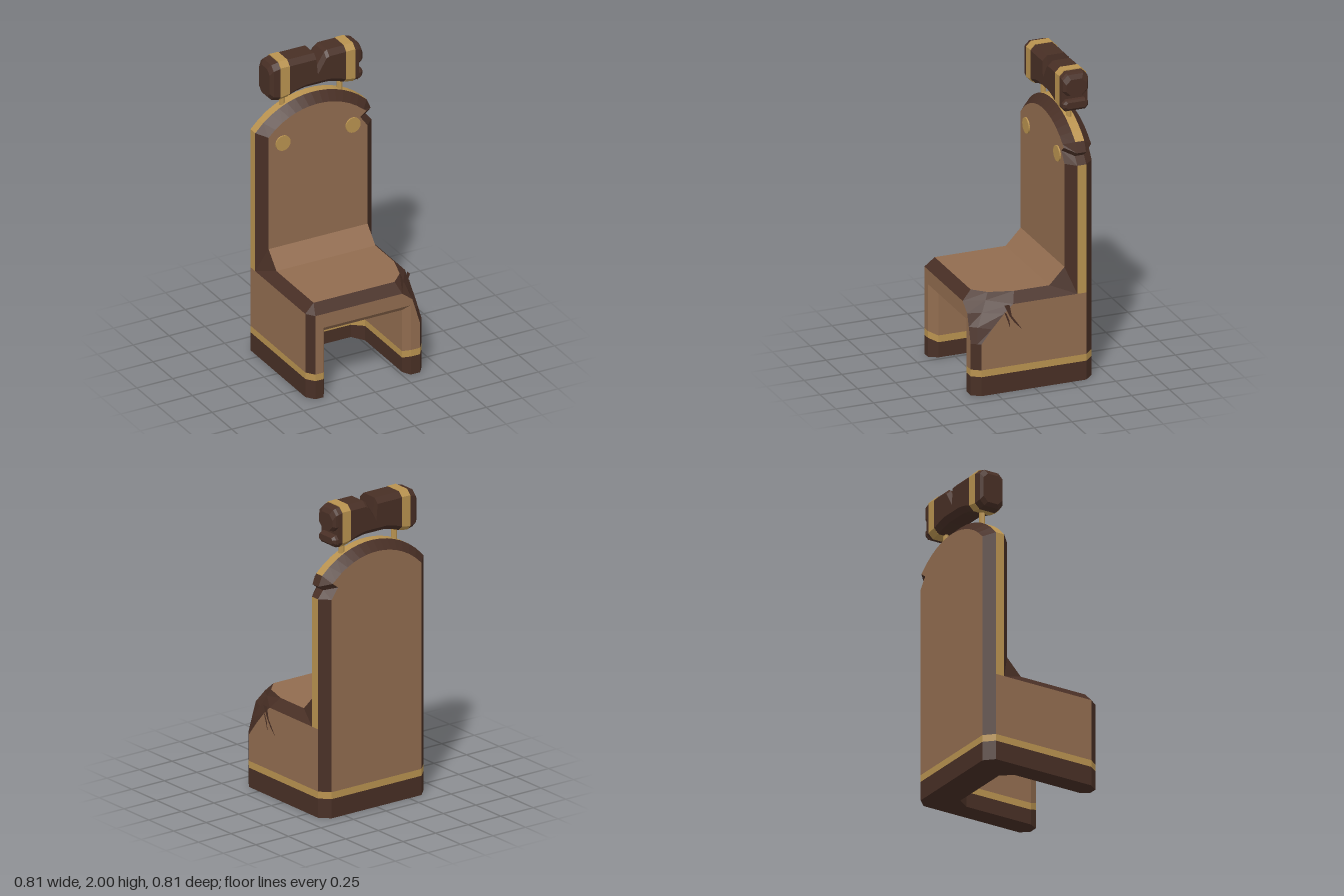
import * as THREE from 'three';

const mat = (name, color) => {
  const m = new THREE.MeshStandardMaterial({ color, flatShading: true, side: THREE.DoubleSide });
  m.name = name;
  return m;
};

export function createModel() {
  const group = new THREE.Group();
  const panel = mat('brown panel', 0x916c4f);
  const trim = mat('dark trim', 0x482f25);
  const gold = mat('dull gold', 0xb8924f);

  const add = (name, geometry, material) => {
    const m = new THREE.Mesh(geometry, material);
    m.name = name;
    group.add(m);
    return m;
  };
  // list of triangles, each three [x, y, z] corners
  const facets = (name, material, tris) => {
    const g = new THREE.BufferGeometry();
    g.setAttribute('position', new THREE.Float32BufferAttribute(tris.flat(2), 3));
    g.computeVertexNormals();
    return add(name, g, material);
  };
  // band of quads between two rows of points
  const band = (a, b) => a.slice(1).flatMap((p, i) => [[a[i], p, b[i + 1]], [a[i], b[i + 1], b[i]]]);
  // flat polygon of [u, v] points placed in space by map(u, v)
  const flat = (pts, map, flip = false) => {
    const v = pts.map(p => new THREE.Vector2(...p));
    if (THREE.ShapeUtils.isClockWise(v)) v.reverse();
    return THREE.ShapeUtils.triangulateShape(v, []).map(t => {
      const c = t.map(i => map(v[i].x, v[i].y));
      return flip ? c.reverse() : c;
    });
  };

  // U-shaped footprint: [x, z, drop of the band inside the opening]
  const outer = [[-0.31, 0.405, 0], [-0.365, 0.405, 0], [-0.405, 0.35, 0], [-0.405, -0.345, 0],
    [-0.345, -0.405, 0], [0.345, -0.405, 0], [0.405, -0.345, 0], [0.405, 0.35, 0],
    [0.365, 0.405, 0], [0.3, 0.405, 0]];
  const inner = [[0.3, 0.405, 0], [0.27, 0.35, 0.025], [0.27, -0.12, 0.025], [0.215, -0.2, 0.04],
    [-0.22, -0.2, 0.04], [-0.275, -0.12, 0.025], [-0.275, 0.35, 0.025], [-0.31, 0.405, 0]];
  const foot = [...outer, ...inner.slice(1)];
  const level = (list, y) => list.map(([x, z, d]) => [x, y ? y - d : 0, z]);
  facets('base', trim, [...band(level(foot, 0.125), level(foot, 0)),
    ...flat(foot.slice(0, -1), (x, z) => [x, 0, z])]);
  facets('baseBand', gold, band(level(foot, 0.17), level(foot, 0.125)));

  // opening below the seat
  const openingTop = inner.map(([x, z]) => [x, z > 0.4 ? 0.48 : 0.43, z]);
  facets('openingWalls', panel, band(openingTop, level(inner, 0.17)));
  facets('openingCeiling', panel, [
    ...flat(inner.slice(1, -1), (x, z) => [x, 0.43, z]),
    ...band([[-0.31, 0.48, 0.405], [0.3, 0.48, 0.405]], [[-0.275, 0.43, 0.35], [0.27, 0.43, 0.35]])]);

  // broken front corner: edge on the front, crest, edge on the side
  const chipFront = [[0.365, 0.34, 0.405], [0.335, 0.44, 0.405], [0.31, 0.52, 0.405],
    [0.24, 0.575, 0.405], [0.22, 0.635, 0.345]];
  const chipCrest = [[0.39, 0.34, 0.372], [0.37, 0.44, 0.36], [0.34, 0.52, 0.32],
    [0.315, 0.59, 0.285], [0.3, 0.635, 0.265]];
  const chipSide = [[0.405, 0.34, 0.35], [0.405, 0.43, 0.28], [0.405, 0.52, 0.2],
    [0.405, 0.575, 0.14], [0.345, 0.635, 0.11]];
  facets('brokenCorner', trim, [...band(chipFront, chipCrest), ...band(chipCrest, chipSide)]);

  // seat faces
  facets('seatFront', panel, flat([[-0.365, 0.17], [-0.31, 0.17], [-0.31, 0.48], [0.3, 0.48],
    [0.3, 0.17], [0.365, 0.17], ...chipFront.slice(0, 4).map(p => [p[0], p[1]]),
    [-0.365, 0.575]], (x, y) => [x, y, 0.405]));
  facets('seatTop', panel, flat([[-0.345, -0.125], [-0.345, 0.345], [0.22, 0.345],
    [0.3, 0.265], [0.345, 0.11], [0.345, -0.125]], (x, z) => [x, 0.635, z], true));
  facets('seatLeftSide', panel, flat([[-0.345, 0.17], [0.35, 0.17],
    ...chipSide.slice(0, 4).map(p => [p[2], p[1]]), [-0.345, 0.575]], (z, y) => [0.405, y, z], true));
  facets('seatRightSide', panel, flat([[-0.345, 0.17], [0.35, 0.17], [0.35, 0.575],
    [-0.345, 0.575]], (z, y) => [-0.405, y, z]));
  facets('seatBackSlope', panel, band([[-0.345, 0.74, -0.225], [0.345, 0.74, -0.225]],
    [[-0.345, 0.635, -0.125], [0.345, 0.635, -0.125]]));

  // bevelled seat edges
  const seatTrim = [
    ...band([[-0.345, 0.635, 0.345], [0.22, 0.635, 0.345]], [[-0.365, 0.575, 0.405], [0.24, 0.575, 0.405]]),
    [[-0.345, 0.635, 0.345], [-0.405, 0.575, 0.35], [-0.365, 0.575, 0.405]],
    ...band([[-0.405, 0.575, 0.35], [-0.365, 0.575, 0.405]], [[-0.405, 0.17, 0.35], [-0.365, 0.17, 0.405]]),
    ...band([[0.365, 0.34, 0.405], [0.39, 0.34, 0.372], [0.405, 0.34, 0.35]],
      [[0.365, 0.17, 0.405], [0.39, 0.17, 0.372], [0.405, 0.17, 0.35]]),
  ];
  for (const [s, z] of [[-1, 0.345], [1, 0.11]]) {
    const row = [[s * 0.345, 0.635, z], [s * 0.345, 0.635, -0.125]];
    const low = [[s * 0.405, 0.575, s < 0 ? 0.35 : 0.14], [s * 0.405, 0.575, -0.285]];
    seatTrim.push(...(s > 0 ? band(row, low) : band(low, row)));
    const corner = [[s * 0.345, 0.635, -0.125], [s * 0.405, 0.575, -0.285], [s * 0.345, 0.74, -0.225]];
    seatTrim.push(s > 0 ? corner : corner.reverse());
  }
  facets('seatTrim', trim, seatTrim);

  // backrest outline with a chip near one shoulder: [outer x, outer y, inner x, inner y]
  const outline = [[0.405, 1.42, 0.345, 1.42], [0.365, 1.47, 0.295, 1.49], [0.4, 1.5, 0.338, 1.522]];
  const arc = (x, top, r) => top - r + Math.sqrt(r * r - x * x);
  for (let i = 0; i <= 14; i++) {
    const t = 0.92 - 1.92 * i / 14;
    outline.push([t * 0.405, arc(t * 0.405, 1.715, 0.536), t * 0.345, arc(t * 0.345, 1.66, 0.472)]);
  }
  const rim = (z, yStart) => [[0.405, yStart, z], ...outline.map(p => [p[0], p[1], z]), [-0.405, yStart, z]];
  const face = (z, yStart) => [[0.345, yStart, z], ...outline.map(p => [p[2], p[3], z]), [-0.345, yStart, z]];
  for (const [name, z, y] of [['backrestFront', -0.225, 0.74], ['backrestRear', -0.405, 0.17]]) {
    facets(name, panel, flat(face(z, y).map(p => [p[0], p[1]]), (u, v) => [u, v, z], z < -0.3));
  }
  facets('backrestFrontTrim', trim, band(rim(-0.285, 0.575), face(-0.225, 0.74)));
  facets('backrestRearTrim', trim, band(face(-0.405, 0.17), rim(-0.345, 0.17)));
  const rimA = rim(-0.345, 0.575), rimB = rim(-0.285, 0.575);
  const cut = (a, b) => band(rimA.slice(a, b), rimB.slice(a, b));
  facets('backrestEdgeBand', gold, [...cut(0, 2), ...cut(4, rimA.length)]);
  facets('backrestChip', trim, cut(1, 5));

  // thin cracks on the seat side
  const crack = [[[0.2, 0.575], [0.165, 0.575], [0.15, 0.5], [0.115, 0.45], [0.08, 0.4], [0.13, 0.45], [0.165, 0.5]],
    [[0.2, 0.53], [0.185, 0.52], [0.165, 0.47], [0.16, 0.415], [0.177, 0.47]]];
  crack.forEach(c => facets('sideCrack', trim, flat(c, (z, y) => [0.407, y, z], true)));

  // round studs and headrest posts
  for (const x of [-0.247, 0.241]) {
    const stud = add('stud', new THREE.CylinderGeometry(0.051, 0.051, 0.009, 20), gold);
    stud.rotation.x = Math.PI / 2;
    stud.position.set(x, 1.452, -0.2195);
  }
  for (const x of [-0.203, 0.2]) {
    const post = add('headrestPost', new THREE.CylinderGeometry(0.019, 0.019, 0.15, 8), gold);
    post.position.set(x, 1.705, -0.315);
  }

  // headrest: bevelled sections along x, each [x, bottom, top, half depth]
  const section = ([x, b, t, d]) => {
    const c = Math.min(0.032, (t - b) * 0.3), z = -0.315;
    const ring = [[b, -d + c], [b, d - c], [b + c, d], [t - c, d], [t, d - c], [t, c - d], [t - c, -d], [b + c, -d]]
      .map(([y, w]) => [x, y, z + w]);
    return [...ring, ring[0]];
  };
  const loft = (name, material, slices) => {
    const rings = slices.map(section);
    const tris = rings.slice(1).flatMap((r, i) => band(r, rings[i]));
    const cap = r => r.slice(2, 8).map((p, i) => [r[0], r[i + 1], p]);
    facets(name, material, [...cap(rings[0]).map(t => t.reverse()), ...cap(rings.at(-1))]
      .concat(tris));
  };
  loft('headrestRightEnd', trim, [[-0.325, 1.765, 1.955, 0.068], [-0.305, 1.745, 1.985, 0.083], [-0.26, 1.735, 1.995, 0.088]]);
  loft('headrestRightBand', gold, [[-0.26, 1.735, 2, 0.09], [-0.197, 1.745, 2, 0.09]]);
  loft('headrestMiddle', trim, [[-0.197, 1.745, 1.997, 0.088], [-0.14, 1.765, 1.997, 0.088],
    [-0.08, 1.777, 1.997, 0.088], [-0.01, 1.777, 1.997, 0.088], [0, 1.777, 1.89, 0.088],
    [0.06, 1.777, 1.985, 0.088], [0.08, 1.777, 1.997, 0.088], [0.14, 1.765, 1.997, 0.088], [0.197, 1.745, 1.997, 0.088]]);
  loft('headrestLeftBand', gold, [[0.197, 1.745, 2, 0.09], [0.26, 1.735, 2, 0.09]]);
  loft('headrestLeftEnd', trim, [[0.26, 1.735, 1.995, 0.088], [0.288, 1.74, 1.99, 0.086]]);
  // split tip of the headrest
  loft('headrestUpperTip', trim, [[0.288, 1.845, 1.99, 0.086], [0.305, 1.845, 1.983, 0.083], [0.322, 1.85, 1.955, 0.068]]);
  loft('headrestLowerTip', trim, [[0.288, 1.74, 1.82, 0.086], [0.305, 1.748, 1.815, 0.083], [0.322, 1.765, 1.805, 0.068]]);

  return group;
}
